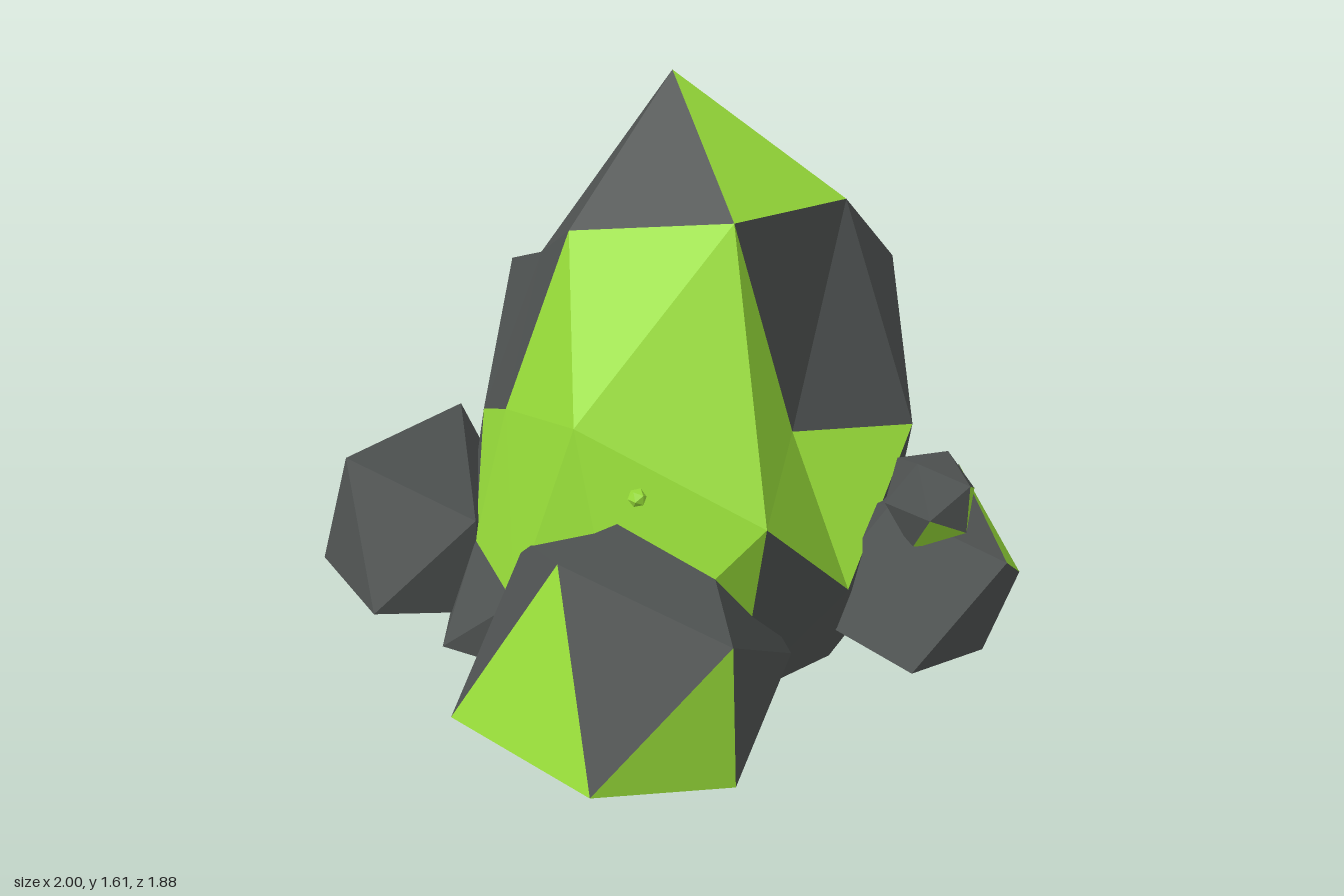
import * as THREE from 'three';

// Both sides show, because the boulders are hollow and open underneath
const stone = new THREE.MeshStandardMaterial({ color: 0x505453, side: THREE.DoubleSide });
stone.name = 'dark stone';
const moss = new THREE.MeshStandardMaterial({ color: 0x99df3a, side: THREE.DoubleSide });
moss.name = 'moss green';

// The twelve icosahedron corners, labelled 0-9, a, b
const T = (1 + Math.sqrt(5)) / 2;
const corners = [
  [-1, T, 0], [1, T, 0], [-1, -T, 0], [1, -T, 0],
  [0, -1, T], [0, 1, T], [0, -1, -T], [0, 1, -T],
  [T, 0, -1], [T, 0, 1], [-T, 0, -1], [-T, 0, 1],
].map((c) => new THREE.Vector3(...c).normalize());

const up = new THREE.Vector3(0, 1, 0);

// Direction of a corner ('5') or of an edge midpoint ('05')
function direction(key) {
  const d = new THREE.Vector3();
  for (const ch of key) d.add(corners[parseInt(ch, 16)]);
  return d.normalize();
}

const mid = (p, q) => (p < q ? p + q : q + p);

// Faces as [label, three vertex keys]; split ones get a centre and three tips
function listFaces(split) {
  const faces = [];
  const near = (i, j) => corners[i].distanceTo(corners[j]) < 1.1;
  for (let i = 0; i < 12; i++)
    for (let j = i + 1; j < 12; j++)
      for (let k = j + 1; k < 12; k++) {
        if (!near(i, j) || !near(j, k) || !near(i, k)) continue;
        const [a, b, c] = [i, j, k].map((n) => n.toString(16));
        const label = a + b + c;
        if (!split) { faces.push([label, [a, b, c]]); continue; }
        const ab = mid(a, b), bc = mid(b, c), ac = mid(a, c);
        faces.push([label, [ab, bc, ac]], [`${label}:${a}`, [a, ab, ac]],
          [`${label}:${b}`, [b, bc, ab]], [`${label}:${c}`, [c, ac, bc]]);
      }
  return faces;
}

// A faceted boulder with its own radius at each vertex, cut off and open at the ground
function makeRock({ name, at, stretch = 1, turn = 0, radius, radii = {}, mossy = '', split = false }) {
  const mossySet = new Set(mossy.split(' '));
  const bare = [], green = [];
  for (const [label, keys] of listFaces(split)) {
    const dirs = keys.map((key) => direction(key).applyAxisAngle(up, turn));
    const points = dirs.map((d, n) => {
      const r = (Array.isArray(radii) ? radii[parseInt(keys[n], 16)] : radii[keys[n]]) ?? radius;
      return [at[0] + d.x * r, Math.max(0, at[1] + d.y * r * stretch), at[2] + d.z * r];
    });
    if (points.every((p) => p[1] === 0)) continue;
    const normal = dirs[1].clone().sub(dirs[0]).cross(dirs[2].clone().sub(dirs[0]));
    if (normal.dot(dirs[0]) < 0) points.reverse();
    const target = mossy === 'all' || mossySet.has(label) ? green : bare;
    target.push(...points.flat());
  }
  const geometry = new THREE.BufferGeometry();
  geometry.setAttribute('position', new THREE.Float32BufferAttribute([...bare, ...green], 3));
  geometry.addGroup(0, bare.length / 3, 0);
  geometry.addGroup(bare.length / 3, green.length / 3, 1);
  geometry.computeVertexNormals();
  const mesh = new THREE.Mesh(geometry, [stone, moss]);
  mesh.name = name;
  return mesh;
}

export function createModel() {
  const group = new THREE.Group();
  group.name = 'mossyRocks';

  const rocks = [
    {
      name: 'mainBoulder', at: [0.01, 0.25, -0.02], stretch: 1.565, radius: 0.7, split: true,
      radii: {
        '01': 0.87, '05': 0.887, '15': 0.81, '0': 0.77, '1': 0.63, '07': 0.64, '17': 0.55,
        '19': 0.865, '18': 0.85, '0b': 0.815, '0a': 0.6, '5b': 0.85, '5': 0.515, '59': 0.73,
        '45': 0.65, '7a': 0.6, '7': 0.77, '78': 0.835, '67': 0.63, '9': 0.655, '89': 0.65,
        'b': 0.8, 'ab': 0.66, 'a': 0.6, '4b': 0.65, '49': 0.65, '39': 0.75, '2a': 0.866,
      },
      mossy: '015 05b 05b:0 05b:5 05b:b 0ab 0ab:0 0ab:a 0ab:b 07a:a 45b:b 45b:5 ' +
        '459:5 459:9 189 189:1 178 678:7 24b:b',
    },
    // Boulders around the foot
    {
      name: 'rightFootBoulder', at: [-0.6, 0.134, 0.35], stretch: 1.3,
      radii: [0.45, 0.48, 0.38, 0.45, 0.45, 0.43, 0.45, 0.43, 0.45, 0.47, 0.47, 0.455],
      mossy: '45b 0ab 67a',
    },
    {
      name: 'frontFootBoulder', at: [0.325, 0.1, 0.66], stretch: 1.25,
      radii: [0.35, 0.33, 0.33, 0.33, 0.27, 0.33, 0.33, 0.33, 0.39, 0.33, 0.36, 0.405],
      mossy: '159 189 178',
    },
    {
      name: 'leftBackBoulder', at: [0.6, 0.155, -0.366], stretch: 1.47,
      radii: [0.47, 0.523, 0.45, 0.39, 0.47, 0.47, 0.475, 0.455, 0.468, 0.382, 0.45, 0.45],
      mossy: '159',
    },
    {
      name: 'rightBackBoulder', at: [-0.5, 0.12, -0.62], stretch: 1.1,
      radii: [0.42, 0.42, 0.38, 0.38, 0.34, 0.34, 0.38, 0.32, 0.35, 0.35, 0.27, 0.38],
    },
    // Small stones resting on the boulders
    {
      name: 'topStone', at: [0.13, 1.25, 0], turn: -0.23,
      radii: [0.18, 0.18, 0.17, 0.18, 0.2, 0.18, 0.26, 0.26, 0.19, 0.28, 0.2, 0.17],
      mossy: '017 178 07a 678 67a 368 26a',
    },
    {
      name: 'leftStone', at: [0.69, 0.8, -0.36], stretch: 0.74,
      radii: [0.17, 0.17, 0.18, 0.18, 0.18, 0.19, 0.18, 0.22, 0.16, 0.16, 0.18, 0.18],
      mossy: '017 015 07a 05b 0ab 189 459 45b',
    },
    {
      name: 'frontStone', at: [0.23, 0.5, 0.74],
      radii: [0.16, 0.13, 0.16, 0.13, 0.14, 0.14, 0.14, 0.14, 0.14, 0.13, 0.14, 0.14],
      mossy: '459 24b 234 349',
    },
    { name: 'mossPebble', at: [-0.59, 0.725, 0.39], radius: 0.025, mossy: 'all' },
  ];
  for (const rock of rocks) group.add(makeRock(rock));
  return group;
}
